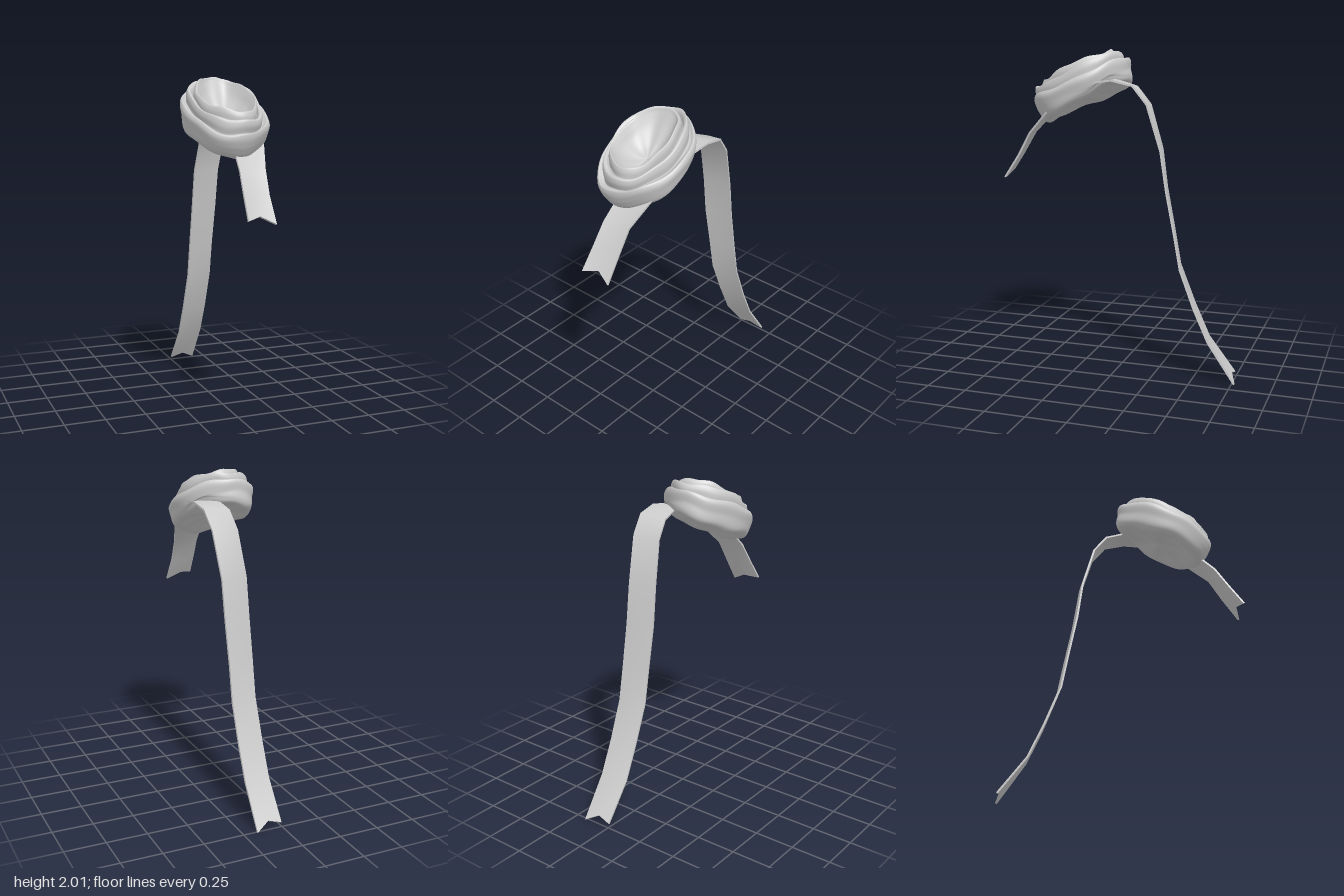
import * as THREE from 'three';
import { toCreasedNormals } from 'three/addons/utils/BufferGeometryUtils.js';

const material = new THREE.MeshStandardMaterial({ color: 0xcccccc, side: THREE.DoubleSide });
const V = (p) => new THREE.Vector3(...p);

function buildGeometry(positions, indices) {
  const g = new THREE.BufferGeometry();
  g.setAttribute('position', new THREE.Float32BufferAttribute(positions, 3));
  g.setIndex(indices);
  g.computeVertexNormals();
  return g;
}

// Rose: folded profile swept round an oval, each fold with its own ripple
function roseGeometry() {
  // [half width, height, half length] from underside centre to cup centre
  const profile = [
    [0, -0.05, 0], [0.12, -0.06, 0.15], [0.2, -0.085, 0.285], [0.235, -0.06, 0.312],
    [0.248, 0, 0.325], [0.258, 0.05, 0.335], [0.245, 0.075, 0.328], [0.225, 0.063, 0.31],
    [0.214, 0.06, 0.3], [0.215, 0.1, 0.305], [0.205, 0.13, 0.295], [0.187, 0.123, 0.275],
    [0.178, 0.1, 0.258], [0.177, 0.138, 0.25], [0.165, 0.16, 0.235], [0.15, 0.14, 0.22],
    [0.12, 0.09, 0.17], [0.06, 0.035, 0.085], [0, 0.01, 0],
  ];
  const rows = 90, cols = 72;
  const curve = new THREE.CatmullRomCurve3(profile.map(V), false, 'centripetal');
  const pos = [], idx = [];
  for (let i = 0; i <= rows; i++) {
    const t = i / rows, p = curve.getPoint(t);
    const edge = Math.min(1, p.x / 0.15);
    for (let j = 0; j < cols; j++) {
      const a = (j / cols) * Math.PI * 2;
      const phase = t * 7;
      const ripple = 1 + edge * (0.022 * Math.sin(3 * a + phase) + 0.012 * Math.sin(5 * a - phase));
      const wave = edge * (0.009 * Math.sin(3 * a - phase + 1) + 0.005 * Math.sin(7 * a + phase));
      // underside lifts where the long ribbon slips in
      const lift = t < 0.5 ? 0.06 * edge * Math.max(0, Math.cos(a + 0.8)) ** 4 * THREE.MathUtils.clamp(-p.y / 0.06, 0, 1) : 0;
      pos.push(p.x * ripple * Math.cos(a), p.y + wave + lift, p.z * ripple * Math.sin(a) - 0.25 * Math.max(0, p.y));
    }
  }
  for (let i = 0; i < rows; i++) {
    for (let j = 0; j < cols; j++) {
      const k = (j + 1) % cols;
      const a = i * cols + j, b = a + cols, c = (i + 1) * cols + k, d = i * cols + k;
      idx.push(a, b, c, a, c, d);
    }
  }
  return buildGeometry(pos, idx);
}

// Ribbon: thin strip between two edge paths, with a bowed middle and notched end
function ribbonGeometry(left, right, bow, notch) {
  const L = left.map(V), R = right.map(V), n = L.length;
  const mid = L.map((l, i) => l.clone().add(R[i]).multiplyScalar(0.5));
  const pos = [], idx = [];
  for (let i = 0; i < n; i++) {
    const dir = mid[Math.min(i + 1, n - 1)].clone().sub(mid[Math.max(i - 1, 0)]).normalize();
    const normal = R[i].clone().sub(L[i]).cross(dir).normalize();
    const M = mid[i].clone().addScaledVector(normal, bow);
    if (i === n - 1) M.addScaledVector(dir, -notch);
    const top = [L[i], M, R[i]];
    for (const p of top) pos.push(...p.clone().addScaledVector(normal, 0.006).toArray());
    for (const p of top.reverse()) pos.push(...p.clone().addScaledVector(normal, -0.006).toArray());
  }
  for (let i = 0; i < n - 1; i++) {
    for (let j = 0; j < 6; j++) {
      const k = (j + 1) % 6;
      const a = i * 6 + j, b = i * 6 + k, c = b + 6, d = a + 6;
      idx.push(a, b, c, a, c, d);
    }
  }
  // end caps
  const e = (n - 1) * 6;
  for (const [a, b, c, d] of [[0, 1, 4, 5], [1, 2, 3, 4]]) {
    idx.push(e + a, e + b, e + c, e + a, e + c, e + d);
    idx.push(a, c, b, a, d, c);
  }
  return toCreasedNormals(buildGeometry(pos, idx), 0.8);
}

export function createModel() {
  const group = new THREE.Group();
  const add = (name, geometry) => {
    const mesh = new THREE.Mesh(geometry, material);
    mesh.name = name;
    group.add(mesh);
    return mesh;
  };

  const rose = add('rose', roseGeometry());
  rose.position.set(0, 1.76, 0.26);
  rose.rotation.x = THREE.MathUtils.degToRad(24);

  // Long ribbon falling behind
  add('longRibbon', ribbonGeometry(
    [[0.06, 1.81, 0.15], [0.06, 1.83, 0], [0.045, 1.795, -0.11], [0.03, 1.69, -0.19], [0.005, 1.42, -0.26],
      [0, 1.18, -0.29], [0, 0.92, -0.34], [0, 0.7, -0.38], [0, 0.46, -0.475], [0, 0.25, -0.57], [0, 0.03, -0.74]],
    [[0.22, 1.82, 0.15], [0.23, 1.84, 0], [0.22, 1.81, -0.13], [0.205, 1.7, -0.215], [0.18, 1.42, -0.295],
      [0.175, 1.18, -0.33], [0.17, 0.92, -0.38], [0.17, 0.7, -0.42], [0.17, 0.46, -0.51], [0.17, 0.26, -0.6], [0.17, 0.012, -0.768]],
    0.004, 0.04));

  // Short ribbon hanging in front
  add('shortRibbon', ribbonGeometry(
    [[-0.01, 1.72, 0.34], [-0.025, 1.64, 0.45], [-0.04, 1.5, 0.595], [-0.05, 1.37, 0.68], [-0.06, 1.24, 0.77]],
    [[0.2, 1.74, 0.3], [0.185, 1.65, 0.42], [0.13, 1.5, 0.57], [0.12, 1.36, 0.65], [0.12, 1.21, 0.75]],
    0.012, 0.045));

  return group;
}
